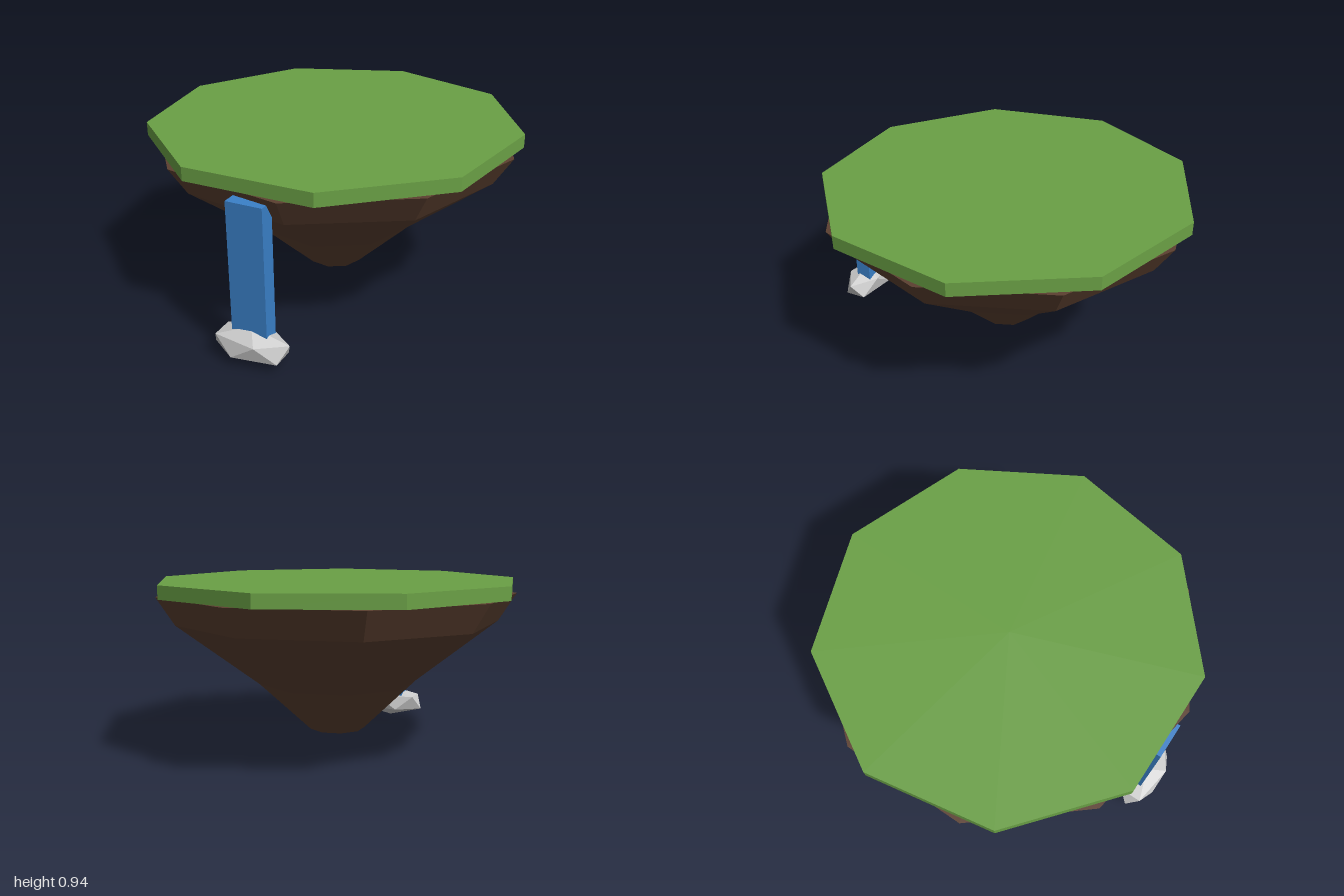
import * as THREE from 'three';
import { ConvexGeometry } from 'three/addons/geometries/ConvexGeometry.js';

const SIDES = 9;
const ISLAND_Z = -0.02;

function addPart(group, name, geometry, color, x, y, z) {
  const material = new THREE.MeshStandardMaterial({ color, flatShading: true });
  const mesh = new THREE.Mesh(geometry, material);
  mesh.name = name;
  mesh.position.set(x, y, z);
  group.add(mesh);
  return mesh;
}

// Icosahedron standing on a corner, stretched to the given ring radii
function boulderGeometry(rx, ry, rz) {
  const points = [new THREE.Vector3(0, ry, 0), new THREE.Vector3(0, -ry, 0)];
  for (let i = 0; i < 5; i++) {
    const a = (i * Math.PI * 2) / 5;
    const x = Math.cos(a) * rx, y = ry / Math.sqrt(5), z = Math.sin(a) * rz;
    points.push(new THREE.Vector3(x, y, z), new THREE.Vector3(-x, -y, -z));
  }
  return new ConvexGeometry(points);
}

export function createModel() {
  const group = new THREE.Group();
  group.name = 'floatingIsland';

  // Grass slab, one corner pointing to the back
  const grass = addPart(group, 'grassTop',
    new THREE.CylinderGeometry(0.98, 0.98, 0.07, SIDES), 0x6aa045, 0, 0.905, ISLAND_Z);
  grass.rotation.y = Math.PI;

  // Tapering earth underside, one corner pointing to +x
  const profile = [[0, 0.125], [0.15, 0.125], [0.43, 0.39], [0.865, 0.72], [0.96, 0.868], [0, 0.868]]
    .map(([r, y]) => new THREE.Vector2(r, y));
  addPart(group, 'earthUnderside',
    new THREE.LatheGeometry(profile, SIDES, Math.PI / 2), 0x5c4030, 0, 0, ISLAND_Z);

  // Waterfall strip at the front edge
  addPart(group, 'waterfall',
    new THREE.BoxGeometry(0.19, 0.69, 0.085), 0x3a80c8, 0, 0.483, 0.883);

  // Boulder at the foot of the waterfall
  addPart(group, 'boulder', boulderGeometry(0.205, 0.093, 0.1), 0xcccccc, 0, 0.093, 0.905);

  return group;
}
